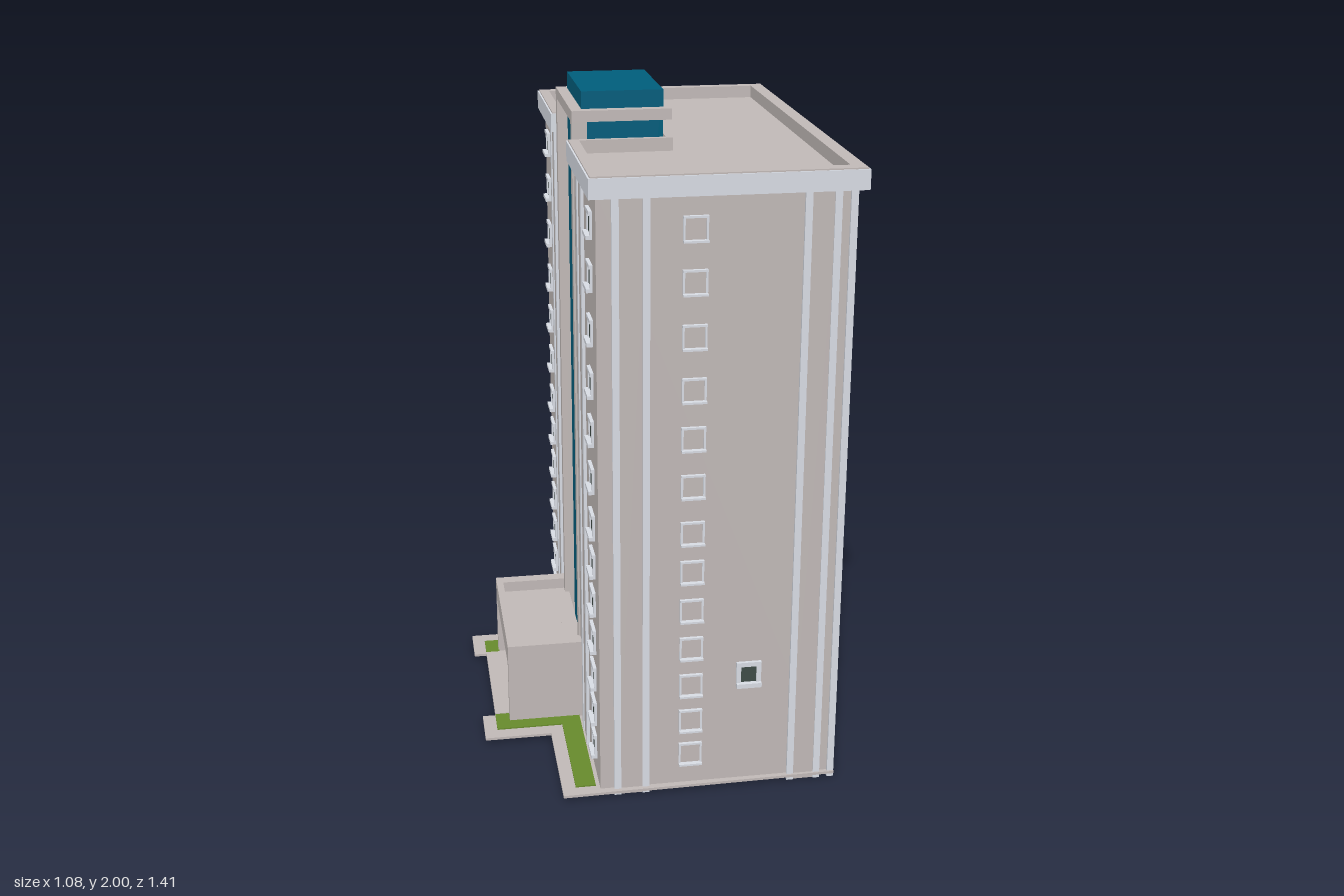
import * as THREE from 'three';

const mat = (name, color) => {
  const m = new THREE.MeshStandardMaterial({ color });
  m.name = name;
  return m;
};

export function createModel() {
  const wall = mat('warm grey wall', 0xc1b9b7);
  const light = mat('pale trim', 0xd8dce4);
  const rail = mat('dark railing', 0x4e5c56);
  const glass = mat('dark glass', 0x3f4b47);
  const blue = mat('blue glazing', 0x005d7b);
  const grass = mat('grass', 0x678a2c);
  const root = new THREE.Group();
  root.name = 'apartmentTower';

  // Box given by its limits on each axis
  const box = (name, m, x0, x1, y0, y1, z0, z1, parent = root) => {
    const mesh = new THREE.Mesh(new THREE.BoxGeometry(x1 - x0, y1 - y0, z1 - z0), m);
    mesh.position.set((x0 + x1) / 2, (y0 + y1) / 2, (z0 + z1) / 2);
    mesh.name = name;
    parent.add(mesh);
  };
  // Plan outline [x, z] raised from y0 to y1; holes wind the other way
  const slab = (name, m, pts, y0, y1, hole) => {
    const v = (a) => a.map(([x, z]) => new THREE.Vector2(x, -z));
    const shape = new THREE.Shape(v(pts));
    if (hole) shape.holes.push(new THREE.Path(v(hole).reverse()));
    const geo = new THREE.ExtrudeGeometry(shape, { depth: y1 - y0, bevelEnabled: false });
    geo.rotateX(-Math.PI / 2).translate(0, y0, 0);
    const mesh = new THREE.Mesh(geo, m);
    mesh.name = name;
    root.add(mesh);
  };
  // C-shaped plan with a notch for the stair tower on the -x side
  const plan = (x0, x1, z0, z1, nx, n0, n1) =>
    [[x0, z0], [x1, z0], [x1, z1], [x0, z1], [x0, n1], [nx, n1], [nx, n0], [x0, n0]];

  // Ground plate and lawn strips
  slab('groundPlate', wall, [
    [-0.33, -0.71], [0.48, -0.71], [0.48, 0.69], [-0.34, 0.7], [-0.34, 0.345], [-0.545, 0.345],
    [-0.545, 0.21], [-0.505, 0.21], [-0.505, -0.2], [-0.545, -0.2], [-0.545, -0.335], [-0.33, -0.335],
  ], 0.012, 0.02);
  slab('backLawn', grass, [
    [0.445, -0.66], [0.445, -0.6], [-0.24, -0.6], [-0.24, -0.24], [-0.46, -0.24], [-0.46, -0.2],
    [-0.505, -0.2], [-0.505, -0.285], [-0.295, -0.285], [-0.295, -0.66],
  ], 0.018, 0.024);
  slab('frontLawn', grass, [
    [-0.24, 0.66], [-0.3, 0.66], [-0.3, 0.3], [-0.505, 0.3], [-0.505, 0.21], [-0.46, 0.21],
    [-0.46, 0.255], [-0.24, 0.255],
  ], 0.018, 0.024);
  box('undersidePanel', blue, 0.2, 0.478, 0.0095, 0.013, -0.64, 0.685);

  // Main block
  slab('mainBlock', wall, plan(-0.228, 0.472, -0.592, 0.677, -0.1, -0.2, 0.21), 0.0125, 1.83);

  // Parapet with a pale fascia
  slab('parapet', wall, plan(-0.245, 0.5, -0.615, 0.7, 0.037, -0.205, 0.215), 1.812, 1.87,
    plan(-0.215, 0.46, -0.58, 0.66, 0.055, -0.222, 0.232));
  slab('roofDeck', wall, plan(-0.22, 0.465, -0.585, 0.665, 0.045, -0.21, 0.22), 1.814, 1.832);
  slab('fascia', light, plan(-0.25, 0.505, -0.62, 0.705, -0.2, -0.2, 0.21), 1.81, 1.866,
    plan(-0.243, 0.498, -0.613, 0.698, -0.19, -0.207, 0.217));

  // Glazed stair tower with side fins and a roof ledge
  box('stairTower', blue, -0.202, 0.035, 0.02, 2, -0.17, 0.182);
  box('towerLedge', wall, -0.234, 0.055, 1.918, 1.95, -0.2, 0.213);
  for (const [a, b] of [[-0.2, -0.17], [0.182, 0.213]])
    box('towerFin', wall, -0.234, -0.19, 0.02, 1.92, a, b);

  // Pilasters edged with pale ribs; each wall frame faces +z
  const wallFrame = (name, x, z, angle) => {
    const g = new THREE.Group();
    g.name = name;
    g.position.set(x, 0, z);
    g.rotation.y = angle;
    root.add(g);
    return g;
  };
  const front = wallFrame('frontWall', 0, 0.677, 0);
  const back = wallFrame('backWall', 0, -0.592, Math.PI);
  const east = wallFrame('balconyWall', 0.472, 0, Math.PI / 2);
  const west = wallFrame('entranceWall', -0.228, 0, -Math.PI / 2);
  const pilaster = (g, a, b, y0) => {
    box('pilaster', wall, a, b, y0, 1.812, -0.01, 0.005, g);
    for (const x of [a, b]) box('pilasterRib', light, x - 0.01, x + 0.01, y0, 1.812, -0.01, 0.009, g);
  };
  pilaster(front, -0.177, -0.093, 0);
  pilaster(front, 0.345, 0.426, 0);
  pilaster(back, 0.093, 0.177, 0);
  pilaster(back, -0.426, -0.345, 0.013);
  pilaster(east, -0.56, -0.475, 0);
  pilaster(east, 0.41, 0.5, 0.013);
  pilaster(west, -0.35, -0.26, 0.02);
  pilaster(west, 0.33, 0.42, 0.02);
  for (const [z, y0] of [[0.677, 0], [-0.592, 0.013]])
    box('cornerRib', light, 0.46, 0.48, y0, 1.812, z - 0.008, z + 0.008);

  // Framed window with a projecting sill; t is the frame width
  const windowUnit = (g, x, y, w, h, t, pane) => {
    const u = new THREE.Group();
    u.name = 'window';
    u.position.set(x, y, 0);
    g.add(u);
    const a = w / 2, b = h / 2;
    box('windowPane', pane, -a, a, -b, b, -0.004, 0.003, u);
    for (const s of [-1, 1]) {
      box('windowJamb', light, s * a - t / 2, s * a + t / 2, -b, b, -0.004, 0.007, u);
      box('windowRail', light, -a - t / 2, a + t / 2, s * b - t / 2, s * b + t / 2, -0.004, s < 0 ? 0.018 : 0.01, u);
    }
  };
  const levels = [1.717, 1.569, 1.415, 1.262, 1.119, 0.976, 0.833, 0.712, 0.59, 0.468, 0.347, 0.23, 0.119];
  for (const y of levels) {
    windowUnit(front, 0.04, y, 0.063, 0.066, 0.006, wall);
    windowUnit(back, -0.04, y, 0.063, 0.066, 0.006, wall);
    windowUnit(back, -0.215, y, 0.064, 0.066, 0.011, glass);
    windowUnit(west, -0.49, y, 0.064, 0.066, 0.011, glass);
    windowUnit(west, 0.57, y, 0.064, 0.066, 0.011, glass);
  }
  windowUnit(front, 0.212, 0.37, 0.06, 0.066, 0.014, glass);

  // Two stacks of balconies
  for (const [z0, z1] of [[-0.365, -0.12], [0.165, 0.41]]) {
    const g = new THREE.Group();
    g.name = 'balconyStack';
    root.add(g);
    const mid = (z0 + z1) / 2;
    box('balconyBackWall', wall, 0.46, 0.485, 0.02, 1.79, z0, z1, g);
    box('balconyRoof', light, 0.47, 0.535, 1.787, 1.8, z0, z1, g);
    for (const z of [z0 + 0.004, z1 - 0.004])
      box('balconySideWall', light, 0.47, 0.528, 0.02, 1.79, z - 0.004, z + 0.004, g);
    box('balconyPartition', light, 0.47, 0.528, 0.02, 1.79, mid - 0.008, mid + 0.008, g);
    for (let i = 0; i < 13; i++) {
      const y = 0.188 + (i - 1) * 0.1371;
      // Pale window frames around wall-coloured panes
      for (const [a, b] of [[z0 + 0.008, mid - 0.008], [mid + 0.008, z1 - 0.008]]) {
        box('balconyFrame', light, 0.48, 0.489, y + 0.02, y + 0.093, a, b, g);
        box('balconyPane', wall, 0.48, 0.493, y + 0.024, y + 0.087, a + 0.005, b - 0.005, g);
      }
      if (i === 0) continue;
      box('balconySlab', light, 0.47, 0.533, y - 0.045, y - 0.022, z0, z1, g);
      box('balconyRailing', rail, 0.53, 0.539, y - 0.022, y + 0.025, z0 - 0.002, z1 + 0.002, g);
      for (const z of [z0, z1])
        box('balconySideRailing', rail, 0.475, 0.533, y - 0.022, y + 0.025, z - 0.003, z + 0.003, g);
    }
  }
  for (const [a, b] of [[-0.365, -0.26], [0.28, 0.38]])
    box('balconyFoot', wall, 0.465, 0.485, 0, 0.025, a, b);

  // Entrance porch, open towards -x, with a parapet roof
  box('porchStep', wall, -0.505, -0.23, 0.014, 0.026, -0.2, 0.21);
  box('porchBackWall', wall, -0.27, -0.22, 0.02, 0.25, -0.235, 0.25);
  for (const [a, b] of [[-0.24, -0.215], [0.23, 0.255]])
    box('porchSideWall', wall, -0.462, -0.225, 0.02, 0.22, a, b);
  box('porchRoof', wall, -0.462, -0.225, 0.215, 0.25, -0.24, 0.255);
  box('porchFrontParapet', wall, -0.462, -0.44, 0.25, 0.285, -0.24, 0.255);
  for (const [a, b] of [[-0.24, -0.2], [0.21, 0.255]])
    box('porchSideParapet', wall, -0.44, -0.228, 0.25, 0.285, a, b);
  box('entranceDoor', glass, -0.276, -0.268, 0.026, 0.17, 0.02, 0.2);
  box('entranceFrame', light, -0.273, -0.268, 0.026, 0.18, 0.01, 0.21);

  return root;
}
